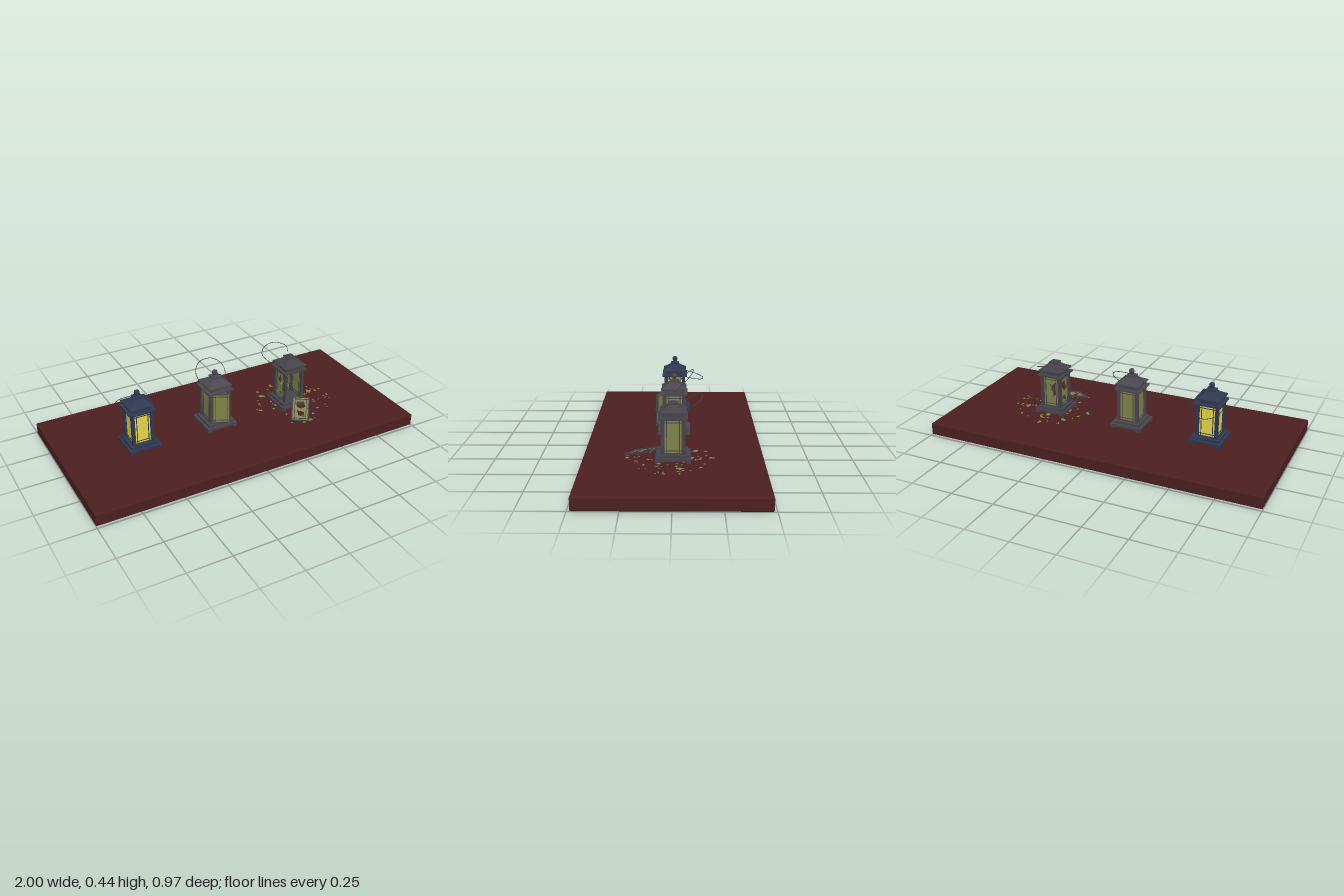
import * as THREE from 'three';
import { mergeGeometries } from 'three/addons/utils/BufferGeometryUtils.js';
import { RoundedBoxGeometry } from 'three/addons/geometries/RoundedBoxGeometry.js';

const FLOOR = 0.072;
const mat = (color, extra = {}) => {
  const m = new THREE.MeshStandardMaterial({ color, ...extra });
  return m;
};

function add(parent, name, geometry, material, x = 0, y = 0, z = 0) {
  const mesh = new THREE.Mesh(geometry, material);
  mesh.name = name;
  mesh.position.set(x, y, z);
  parent.add(mesh);
  return mesh;
}

const box = (w, h, d, x = 0, y = 0, z = 0) => new THREE.BoxGeometry(w, h, d).translate(x, y, z);

// Square slab between two heights
const slab = (half, y0, y1) => box(half * 2, y1 - y0, half * 2, 0, (y0 + y1) / 2, 0);

// Jagged holes in pane coordinates
const HOLES = {
  none: [],
  large: [[[-0.012, 0.055], [0.004, 0.042], [0.03, 0.06], [0.026, 0.02], [0.034, -0.01],
    [0.016, -0.03], [0.012, 0.002], [-0.004, 0.012], [0.002, 0.03]]],
  side: [[[-0.03, 0.05], [0.004, 0.062], [0.012, 0.03], [0.026, 0.012], [0.002, -0.004], [-0.02, 0.018]],
    [[-0.02, -0.03], [0.012, -0.04], [0.02, -0.068], [-0.012, -0.06]]],
  door: [[[-0.026, 0.055], [0.018, 0.06], [0.028, 0.02], [0.008, 0.002], [-0.022, 0.015]],
    [[-0.02, -0.012], [0.022, -0.024], [0.026, -0.062], [-0.01, -0.052]]],
};

// Glazed panel: rim, thin crossing bars and glass, centred on its own origin
function panel(name, frame, glass, holes, rim = 0.006, depth = 0.008) {
  const g = new THREE.Group();
  g.name = name;
  const w = 0.102, h = 0.19;
  const bars = [];
  for (const s of [-1, 1]) {
    bars.push(box(rim, h, depth, s * (w - rim) / 2, 0, 0));
    bars.push(box(w, rim, depth, 0, s * (h - rim) / 2, 0));
    bars.push(box(0.004, h - rim, 0.006, s * 0.034, 0, 0));
    bars.push(box(w - rim, 0.004, 0.006, 0, s * 0.077, 0));
  }
  add(g, 'panelBars', mergeGeometries(bars), frame);
  const a = w / 2 - rim / 2, b = h / 2 - rim / 2;
  const shape = new THREE.Shape([[-a, -b], [a, -b], [a, b], [-a, b]].map(p => new THREE.Vector2(...p)));
  for (const hole of holes) shape.holes.push(new THREE.Path(hole.map(p => new THREE.Vector2(...p))));
  add(g, 'glass', new THREE.ShapeGeometry(shape), glass);
  return g;
}

function lantern({ name, x, frameColor, glassColor, holes = {}, finial = true, door, handle }) {
  const g = new THREE.Group();
  g.name = name;
  g.position.x = x;
  const frame = mat(frameColor, { flatShading: true });
  const smooth = mat(frameColor);
  const glass = mat(glassColor, { side: THREE.DoubleSide });

  // Feet and stepped base
  const feet = [], posts = [];
  for (const sx of [-1, 1]) for (const sz of [-1, 1]) {
    feet.push(box(0.026, 0.014, 0.026, sx * 0.08, FLOOR + 0.006, sz * 0.08));
    posts.push(box(0.015, 0.197, 0.015, sx * 0.0575, 0.2085, sz * 0.0575));
  }
  add(g, 'feet', mergeGeometries(feet), frame);
  add(g, 'base', mergeGeometries([slab(0.094, 0.082, 0.097), slab(0.08, 0.097, 0.111)]), frame);
  add(g, 'cornerPosts', mergeGeometries(posts), frame);

  // Glazed sides; the front panel doubles as the door
  ['front', 'left', 'back', 'right'].forEach((side, i) => {
    const p = panel(side + 'Panel', frame, glass, HOLES[holes[side] || 'none']);
    const pivot = new THREE.Group();
    pivot.name = side + 'Side';
    pivot.rotation.y = i * Math.PI / 2;
    p.position.set(0, 0.208, 0.057);
    if (side === 'front') {
      add(p, 'knob', new THREE.SphereGeometry(0.005, 10, 8), smooth, 0.045, 0, 0.008);
      if (door) door(p);
    }
    pivot.add(p);
    g.add(pivot);
  });

  // Top plate, neck and hipped roof
  add(g, 'topPlate', slab(0.078, 0.304, 0.313), frame);
  add(g, 'neck', slab(0.056, 0.313, 0.337), frame);
  const roof = new THREE.LatheGeometry(
    [[0, 0.334], [0.072, 0.334], [0.072, 0.341], [0.045, 0.356], [0.024, 0.372], [0, 0.372]]
      .map(([r, y]) => new THREE.Vector2(r * Math.SQRT2, y)), 4);
  add(g, 'roof', roof.rotateY(Math.PI / 4), frame);
  add(g, 'roofCap', mergeGeometries([slab(0.02, 0.37, 0.376), slab(0.027, 0.376, 0.383)]), frame);
  add(g, 'capStud', new THREE.CylinderGeometry(0.009, 0.013, 0.009, 12), smooth, 0, 0.387, 0);
  if (finial) {
    const profile = [[0.008, 0.388], [0.01, 0.392], [0.015, 0.4], [0.016, 0.408], [0.013, 0.416], [0.007, 0.42], [0, 0.421]];
    add(g, 'finial', new THREE.LatheGeometry(profile.map(p => new THREE.Vector2(...p)), 16), smooth);
  }

  // Handle pivots on the neck and the wire bail
  for (const s of [-1, 1]) {
    const stud = add(g, 'handlePivot', new THREE.CylinderGeometry(0.006, 0.006, 0.01, 12), smooth, s * 0.059, 0.325, 0);
    stud.rotation.z = Math.PI / 2;
  }
  const curve = new THREE.CatmullRomCurve3(handle.map(p => new THREE.Vector3(...p)));
  add(g, 'wireHandle', new THREE.TubeGeometry(curve, 48, 0.0018, 6), smooth);
  return g;
}

// Round bail of a given reach, tipped back so its tip lies at (y, z)
function bail(tipY, tipZ) {
  const outline = [[-0.06, 0], [-0.082, 0.25], [-0.09, 0.5], [-0.072, 0.8], [-0.035, 0.97], [0, 1]];
  const half = outline.map(([x, t]) => [x, 0.325 + (tipY - 0.325) * t, tipZ * t]);
  return [...half, ...half.slice(0, -1).reverse().map(([x, y, z]) => [-x, y, z])];
}

// Broken glass scattered around a point on the floor
function shards(cx, cz, count) {
  let seed = 7;
  const rnd = () => (seed = (seed * 16807) % 2147483647) / 2147483647;
  const pieces = [];
  for (let i = 0; i < count; i++) {
    const size = 0.005 + 0.012 * rnd() * rnd();
    const n = 3 + Math.floor(rnd() * 3);
    const pts = [];
    for (let k = 0; k < n; k++) {
      const a = (k + 0.6 * rnd()) / n * Math.PI * 2, r = size * (0.6 + 0.6 * rnd());
      pts.push(new THREE.Vector2(Math.cos(a) * r * 1.2, Math.sin(a) * r));
    }
    const angle = rnd() * Math.PI * 2, dist = 0.09 + 0.16 * rnd();
    pieces.push(new THREE.ExtrudeGeometry(new THREE.Shape(pts), { depth: 0.002, bevelEnabled: false })
      .rotateX(-Math.PI / 2).rotateY(rnd() * 6)
      .translate(cx + Math.cos(angle) * dist, FLOOR + 0.001, cz + Math.sin(angle) * dist * 0.95));
  }
  return mergeGeometries(pieces);
}

export function createModel() {
  const model = new THREE.Group();
  model.name = 'lanternDisplay';

  add(model, 'tableTop', new RoundedBoxGeometry(2, FLOOR, 0.972, 3, 0.007), mat(0x4c1f22), 0, FLOOR / 2, 0);

  // Intact, lit lantern with its handle folded back
  model.add(lantern({
    name: 'litLantern', x: -0.55, frameColor: 0x2f3850, glassColor: 0xe6d64a,
    handle: bail(0.28, -0.18),
  }));

  // Worn lantern with its door ajar, hinged on its right edge
  model.add(lantern({
    name: 'wornLantern', x: -0.07, frameColor: 0x49474d, glassColor: 0x80834a,
    handle: bail(0.44, -0.112),
    door: p => {
      const a = 0.42;
      p.rotation.y = -a;
      p.position.x = -0.05 + 0.051 * Math.cos(a);
      p.position.z = 0.061 + 0.051 * Math.sin(a);
    },
  }));

  // Broken lantern: finial lost, handle bent loose, door fallen against the base
  model.add(lantern({
    name: 'brokenLantern', x: 0.43, frameColor: 0x454349, glassColor: 0x80834a, finial: false,
    holes: { front: 'door', back: 'large', right: 'side' },
    handle: [[-0.06, 0.325, 0], [-0.11, 0.35, -0.05], [-0.13, 0.383, -0.1], [-0.08, 0.406, -0.145],
      [-0.01, 0.408, -0.155], [0.045, 0.39, -0.13], [0.05, 0.375, -0.1], [0.03, 0.37, -0.075]],
    door: p => {
      const up = new THREE.Vector3(0.1, 0.053, -0.145).normalize();
      const across = new THREE.Vector3(0.145, 0, 0.1).normalize();
      const out = across.clone().cross(up);
      p.quaternion.setFromRotationMatrix(new THREE.Matrix4().makeBasis(across, up, out));
      p.position.set(-0.014, 0.108, 0.164);
    },
  }));

  add(model, 'glassShards', shards(0.45, 0.02, 75), mat(0x80834a, { flatShading: true }));
  return model;
}
